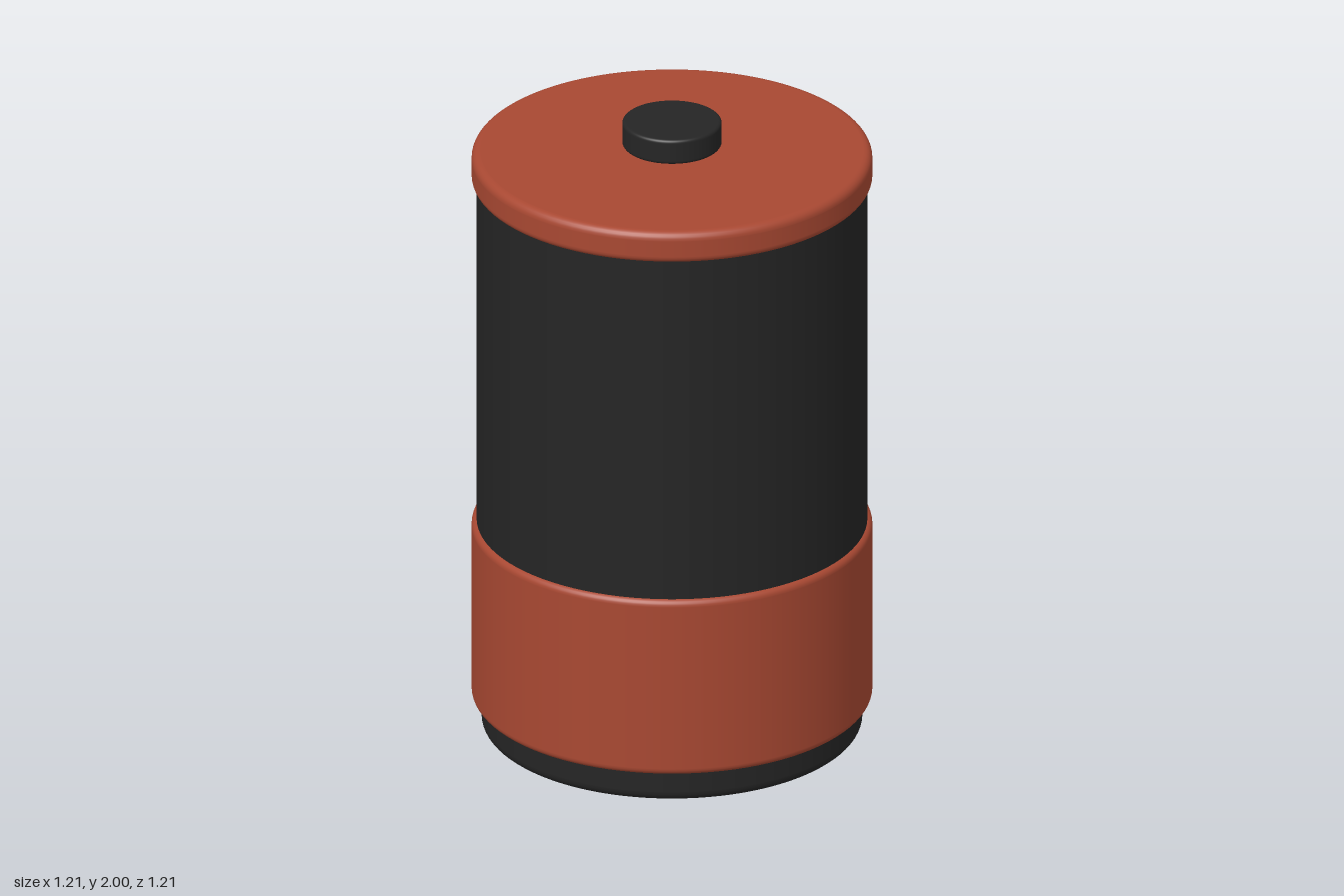
import * as THREE from 'three';

const red = new THREE.MeshStandardMaterial({ color: 0xa84832 });
red.name = 'brick red';
const black = new THREE.MeshStandardMaterial({ color: 0x252525 });
black.name = 'charcoal black';

// Solid disc or drum from y0 to y1 with rounded bottom and top rims
function drum(name, material, radius, y0, y1, bottomRound, topRound) {
  const points = [new THREE.Vector2(0, y0)];
  const e = 0.002; // guard points keep the flat faces flat
  const steps = 6;
  const arc = (cy, round, from) => {
    for (let i = 0; i <= steps; i++) {
      const a = from + (i / steps) * (Math.PI / 2);
      points.push(new THREE.Vector2(radius - round + round * Math.cos(a), cy + round * Math.sin(a)));
    }
  };
  points.push(new THREE.Vector2(radius - bottomRound - e, y0));
  arc(y0 + bottomRound, bottomRound, -Math.PI / 2);
  points.push(new THREE.Vector2(radius, y0 + bottomRound + e));
  points.push(new THREE.Vector2(radius, y1 - topRound - e));
  arc(y1 - topRound, topRound, 0);
  points.push(new THREE.Vector2(radius - topRound - e, y1));
  points.push(new THREE.Vector2(0, y1));
  const mesh = new THREE.Mesh(new THREE.LatheGeometry(points, 96), material);
  mesh.name = name;
  return mesh;
}

export function createModel() {
  const model = new THREE.Group();
  model.name = 'battery';
  model.add(
    drum('base', black, 0.575, 0, 0.12, 0.03, 0.005),
    drum('lowerBand', red, 0.605, 0.1, 0.68, 0.02, 0.02),
    drum('body', black, 0.59, 0.64, 1.83, 0.005, 0.005),
    drum('lid', red, 0.605, 1.8, 1.9, 0.02, 0.025),
    // The terminal floats just above the lid
    drum('terminal', black, 0.15, 1.92, 2, 0.01, 0.01)
  );
  return model;
}
